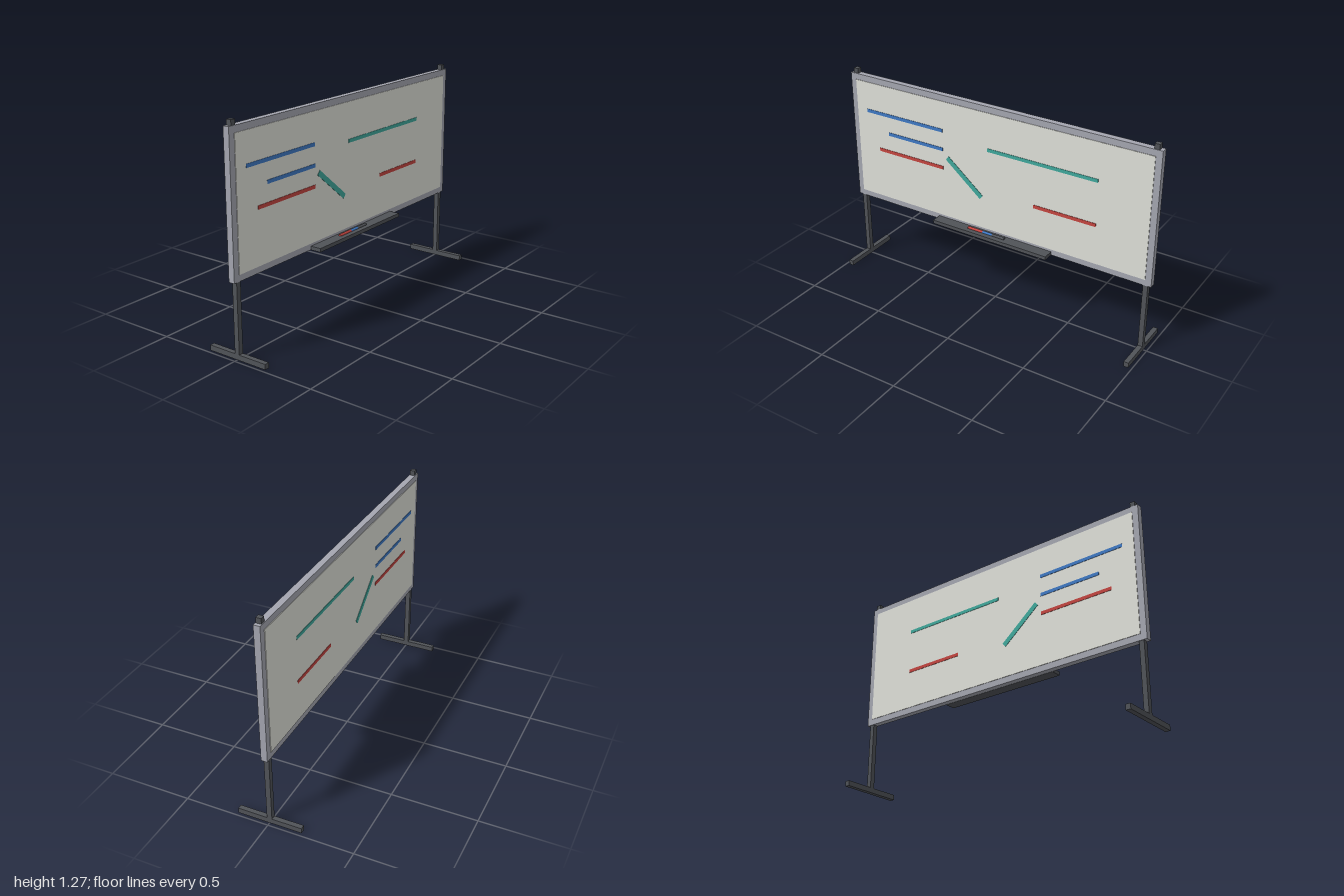
import * as THREE from 'three';

function material(name, color) {
  const m = new THREE.MeshStandardMaterial({ color });
  m.name = name;
  return m;
}

export function createModel() {
  const group = new THREE.Group();
  const panelWhite = material('panelWhite', 0xdfe0d9);
  const frameGrey = material('frameGrey', 0xa4a6b0);
  const darkMetal = material('darkMetal', 0x505358);
  const blue = material('blueInk', 0x3f79c4);
  const red = material('redInk', 0xc44540);
  const teal = material('tealInk', 0x40a89c);

  function box(name, mat, w, h, d, x, y, z) {
    const mesh = new THREE.Mesh(new THREE.BoxGeometry(w, h, d), mat);
    mesh.name = name;
    mesh.position.set(x, y, z);
    group.add(mesh);
    return mesh;
  }

  // Writing panel, standing slightly proud of its frame on both sides
  const bottom = 0.433, top = 1.24, rail = 0.037;
  const midY = (bottom + top) / 2;
  box('panel', panelWhite, 1.926, top - bottom - 2 * rail, 0.043, 0, midY, 0);

  // Frame rails
  box('topRail', frameGrey, 2 - 2 * rail, rail, 0.037, 0, top - rail / 2, 0);
  box('bottomRail', frameGrey, 2 - 2 * rail, rail, 0.037, 0, bottom + rail / 2, 0);

  // Side rails, posts and feet
  for (const [side, s] of [['left', 1], ['right', -1]]) {
    box(side + 'Rail', frameGrey, rail, top - bottom, 0.037, s * (1 - rail / 2), midY, 0);
    box(side + 'Post', darkMetal, 0.029, 1.24, 0.03, s * 0.965, 0.65, 0);
    box(side + 'Foot', darkMetal, 0.029, 0.031, 0.38, s * 0.965, 0.0155, 0);
  }

  // Drawn strokes on both faces: material, start x, start y, end x, end y, width
  const strokes = [
    [blue, -0.89, 1.022, -0.345, 1.022, 0.021],
    [blue, -0.735, 0.904, -0.345, 0.904, 0.021],
    [red, -0.81, 0.786, -0.345, 0.786, 0.021],
    [teal, -0.04, 0.979, 0.655, 0.979, 0.021],
    [red, 0.265, 0.711, 0.655, 0.711, 0.021],
    [teal, -0.314, 0.857, -0.082, 0.667, 0.031],
  ];
  for (const [mat, x0, y0, x1, y1, width] of strokes) {
    for (const s of [1, -1]) {
      const length = Math.hypot(x1 - x0, y1 - y0);
      const stroke = box('stroke', mat, length, width, 0.004, (x0 + x1) / 2, (y0 + y1) / 2, s * 0.0217);
      stroke.rotation.z = Math.atan2(y1 - y0, x1 - x0);
    }
  }

  // Pen tray on the front
  box('tray', darkMetal, 0.77, 0.022, 0.068, 0, 0.443, 0.05);

  // Pens lying end to end in the tray
  for (const [name, mat, x0, x1] of [
    ['redPen', red, -0.157, -0.056],
    ['bluePen', blue, -0.056, 0.008],
    ['darkPen', darkMetal, 0.008, 0.091],
  ]) {
    const pen = new THREE.Mesh(new THREE.CylinderGeometry(0.009, 0.009, x1 - x0, 12), mat);
    pen.name = name;
    pen.rotation.z = Math.PI / 2;
    pen.position.set((x0 + x1) / 2, 0.456, 0.046);
    group.add(pen);
  }

  return group;
}
